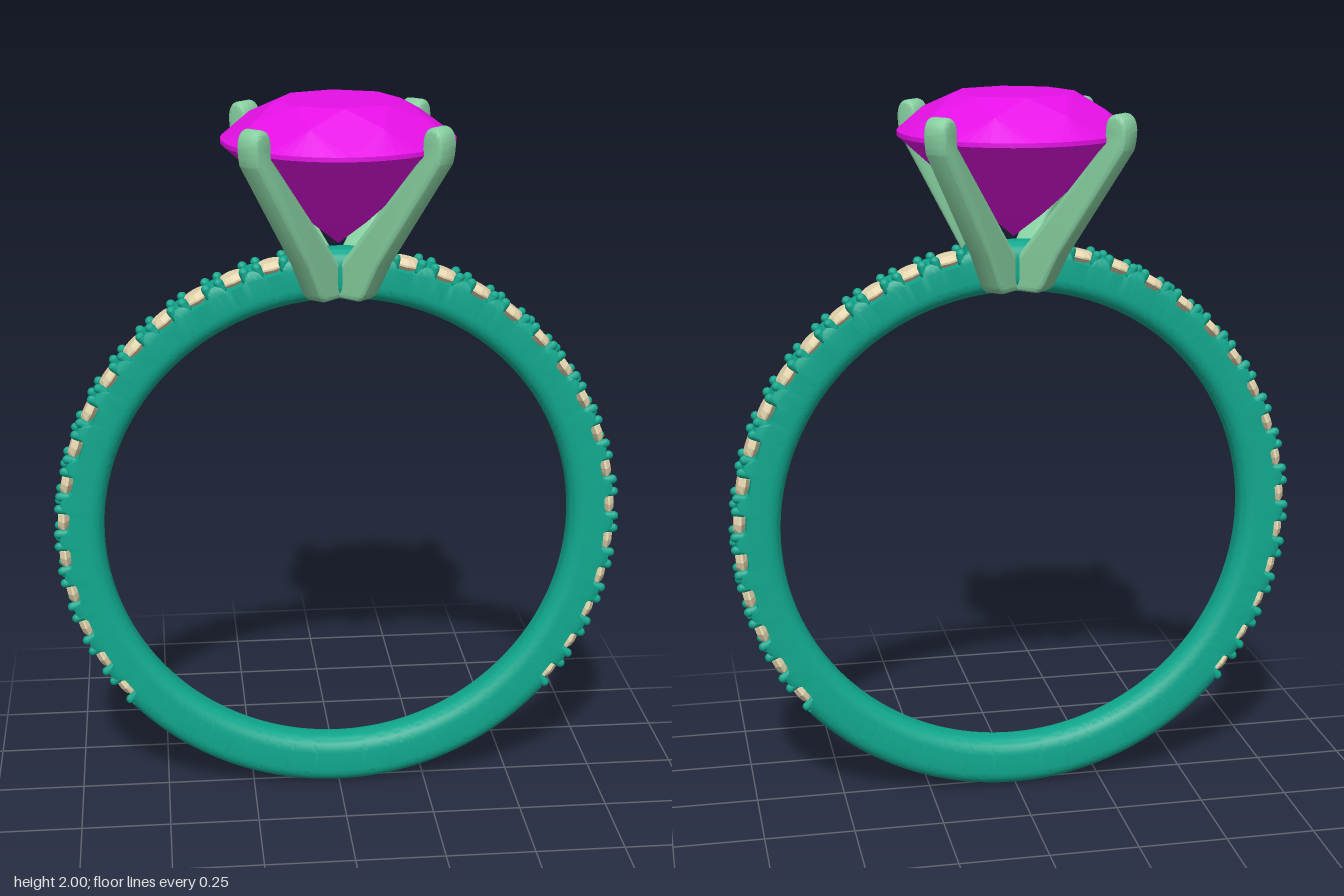
import * as THREE from 'three';
import { toCreasedNormals } from 'three/addons/utils/BufferGeometryUtils.js';
import { ConvexGeometry } from 'three/addons/geometries/ConvexGeometry.js';

const RAD = Math.PI / 180;
const CENTRE_Y = 0.8, INNER = 0.66, OUTER = 0.8, HALF_WIDTH = 0.055;
const FIRST = -37.3, STEP = 8.1, COUNT = 15; // small stones, degrees of elevation

const material = (color) => new THREE.MeshStandardMaterial({ color });
const bandMat = material(0x10a88e);
const headMat = material(0x86cfa0);
const gemMat = material(0xe610e6);
const stoneMat = material(0xe4d5ae);

function named(name, geometry, mat) {
  const mesh = new THREE.Mesh(geometry, mat);
  mesh.name = name;
  return mesh;
}

// Outer limit of the band: full when plain, scalloped around each small stone
function outerLimit(elevation) {
  const phase = (elevation - FIRST) / STEP;
  if (phase < -0.5 || phase > COUNT - 0.5) return OUTER;
  const d = Math.abs(phase - Math.round(phase));
  return THREE.MathUtils.lerp(0.757, 0.785, THREE.MathUtils.smoothstep(d, 0.22, 0.38));
}

// Rounded section swept around the finger, clipped by the outer limit
function bandGeometry() {
  const section = [];
  const corner = 0.043, arc = 7;
  const corners = [
    [OUTER - corner, HALF_WIDTH - corner], [INNER + corner, HALF_WIDTH - corner],
    [INNER + corner, corner - HALF_WIDTH], [OUTER - corner, corner - HALF_WIDTH],
  ];
  corners.forEach(([r, z], k) => {
    for (let i = 0; i <= arc; i++) {
      const a = (k + i / arc) * Math.PI / 2;
      section.push([r + corner * Math.cos(a), z + corner * Math.sin(a)]);
    }
  });
  // order the corners so the arcs run outer, front, inner, back
  const n = section.length, steps = 720;
  for (let k = 0; k < 4; k++) {
    for (let i = 0; i <= arc; i++) {
      const a = (k + i / arc) * Math.PI / 2;
      section[k * (arc + 1) + i] = [corners[k][0] + corner * Math.cos(a), corners[k][1] + corner * Math.sin(a)];
    }
  }
  const positions = [], index = [];
  for (let s = 0; s < steps; s++) {
    const t = s / steps * Math.PI * 2;
    const limit = outerLimit(Math.asin(Math.sin(t)) / RAD);
    for (const [r, z] of section) {
      const q = Math.min(r, limit);
      positions.push(q * Math.cos(t), q * Math.sin(t), z);
    }
    for (let i = 0; i < n; i++) {
      const j = (i + 1) % n, next = (s + 1) % steps;
      const a = s * n + i, b = s * n + j, c = next * n + j, d = next * n + i;
      index.push(a, d, b, b, d, c);
    }
  }
  const g = new THREE.BufferGeometry();
  g.setAttribute('position', new THREE.Float32BufferAttribute(positions, 3));
  g.setIndex(index);
  return toCreasedNormals(g, 35 * RAD);
}

// Round brilliant cut: table, crown, girdle, pavilion and culet
function gemGeometry() {
  const points = [new THREE.Vector3(0, 1.61, 0)];
  const ring = (r, y, count, offset = 0) => {
    for (let i = 0; i < count; i++) {
      const a = (i + offset) / count * Math.PI * 2;
      points.push(new THREE.Vector3(r * Math.cos(a), y, r * Math.sin(a)));
    }
  };
  ring(0.167, 2, 8);
  ring(0.25, 1.957, 8, 0.5);
  ring(0.315, 1.9, 64);
  ring(0.315, 1.888, 64);
  ring(0.08, 1.673, 8, 0.5);
  return new ConvexGeometry(points);
}

// One claw of the head, drawn in its radial plane
function prongGeometry() {
  const s = new THREE.Shape();
  s.moveTo(-0.03, 1.465);
  s.lineTo(0.085, 1.465);
  s.quadraticCurveTo(0.105, 1.465, 0.12, 1.49);
  s.lineTo(0.165, 1.575);
  s.lineTo(0.362, 1.865);
  s.quadraticCurveTo(0.37, 1.89, 0.37, 1.92);
  s.quadraticCurveTo(0.366, 1.962, 0.335, 1.962);
  s.quadraticCurveTo(0.304, 1.958, 0.304, 1.915);
  s.lineTo(0.302, 1.885);
  s.lineTo(0.04, 1.575);
  s.lineTo(-0.03, 1.56);
  const bevel = 0.014, width = 0.07;
  const g = new THREE.ExtrudeGeometry(s, {
    depth: width - 2 * bevel, bevelThickness: bevel, bevelSize: bevel,
    bevelOffset: -bevel, bevelSegments: 4, curveSegments: 8,
  });
  g.translate(0, 0, bevel - width / 2);
  return toCreasedNormals(g, 40 * RAD);
}

export function createModel() {
  const model = new THREE.Group();

  const band = named('band', bandGeometry(), bandMat);
  band.position.y = CENTRE_Y;
  model.add(band);

  // Small stones and their bead claws, both sides of the band
  const profile = [[0, -0.025], [0.046, 0], [0.046, 0.005], [0.029, 0.019], [0, 0.019]];
  const stoneGeo = toCreasedNormals(
    new THREE.LatheGeometry(profile.map(([x, y]) => new THREE.Vector2(x, y)), 12), 5 * RAD);
  const beadGeo = new THREE.CapsuleGeometry(0.0135, 0.02, 4, 8);
  const paving = new THREE.Group();
  paving.name = 'paving';
  paving.position.y = CENTRE_Y;
  model.add(paving);

  const place = (mesh, elevation, side, r, z = 0) => {
    const a = elevation * RAD;
    mesh.position.set(side * r * Math.cos(a), r * Math.sin(a), z);
    mesh.rotation.z = side * (a - Math.PI / 2);
    paving.add(mesh);
  };
  for (const side of [1, -1]) {
    for (let i = 0; i < COUNT; i++) {
      const e = FIRST + i * STEP;
      place(named('smallStone', stoneGeo, stoneMat), e, side, 0.77);
      for (const de of [-2.7, 2.7]) {
        for (const z of [-0.037, 0.037]) {
          place(named('beadClaw', beadGeo, bandMat), e + de, side, 0.777, z);
        }
      }
    }
  }

  // Four-claw head
  const head = new THREE.Group();
  head.name = 'head';
  const prongGeo = prongGeometry();
  for (let k = 0; k < 4; k++) {
    const prong = named('prong', prongGeo, headMat);
    prong.rotation.y = Math.PI / 4 + k * Math.PI / 2;
    head.add(prong);
  }
  model.add(head);

  model.add(named('centreGem', gemGeometry(), gemMat));
  return model;
}
